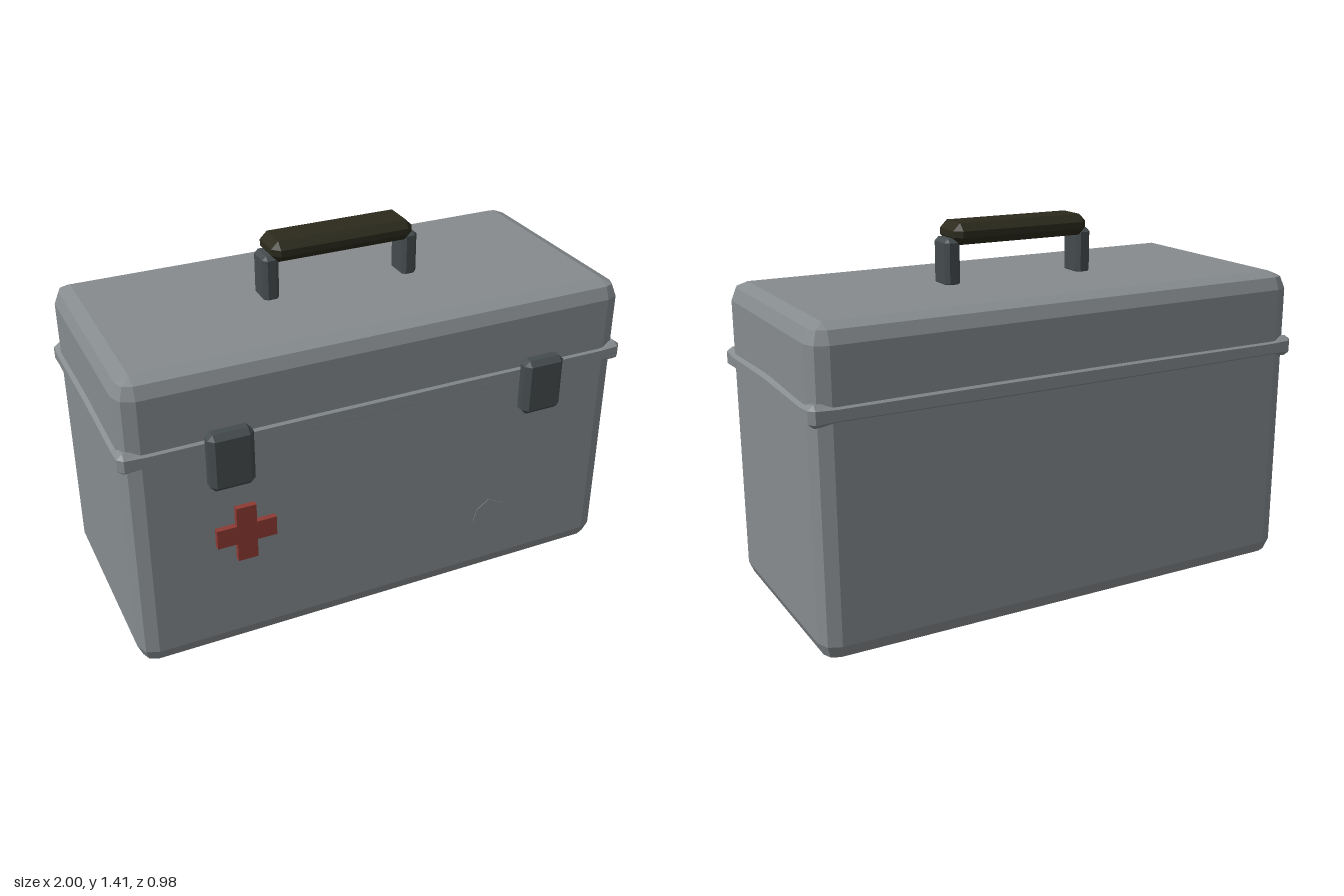
import * as THREE from 'three';

const mat = (name, color) => {
  const m = new THREE.MeshStandardMaterial({ color });
  m.name = name;
  return m;
};

// Faceted solid from stacked closed rings (bottom to top), capped at both ends
function loft(rings) {
  const pos = [];
  const tri = (...pts) => pts.forEach((p) => pos.push(...p));
  const n = rings[0].length;
  for (let i = 0; i < rings.length - 1; i++) {
    for (let j = 0; j < n; j++) {
      const k = (j + 1) % n;
      tri(rings[i][j], rings[i + 1][j], rings[i][k]);
      tri(rings[i][k], rings[i + 1][j], rings[i + 1][k]);
    }
  }
  const low = rings[0], top = rings[rings.length - 1];
  for (let j = 1; j < n - 1; j++) {
    tri(low[0], low[j], low[j + 1]);
    tri(top[0], top[j + 1], top[j]);
  }
  const g = new THREE.BufferGeometry();
  g.setAttribute('position', new THREE.Float32BufferAttribute(pos, 3));
  g.computeVertexNormals();
  return g;
}

// Box with every edge bevelled in the given number of steps
function bevelBox(w, h, d, r, steps) {
  const ring = (radius, y) => {
    const pts = [];
    [[1, 1], [-1, 1], [-1, -1], [1, -1]].forEach(([sx, sz], q) => {
      for (let s = 0; s <= steps; s++) {
        const a = (q + s / steps) * Math.PI / 2;
        pts.push([
          sx * (w / 2 - r) + radius * Math.cos(a), y,
          sz * (d / 2 - r) + radius * Math.sin(a),
        ]);
      }
    });
    return pts;
  };
  const rings = [];
  for (const side of [-1, 1]) {
    for (let s = 0; s <= steps; s++) {
      const a = (side < 0 ? s : steps - s) / steps * Math.PI / 2;
      rings.push(ring(r * Math.sin(a), side * (h / 2 - r + r * Math.cos(a))));
    }
  }
  return loft(rings);
}

// Seam rim whose thickness swells and dips a little around the box
function rimGeometry(X, Z) {
  const quarter = [
    [X, 0.04, 1.1], [X, Z - 0.1, 0.75], [X, Z - 0.02, 1.05],
    [X - 0.02, Z, 1.05], [X - 0.1, Z, 0.88], [0.3, Z, 1],
  ];
  const outline = [[1, 1], [-1, 1], [-1, -1], [1, -1]].flatMap(([sx, sz], q) => {
    const pts = quarter.map(([x, z, s]) => [sx * x, sz * z, s]);
    return q % 2 ? pts.reverse() : pts;
  });
  const clamp = THREE.MathUtils.clamp;
  return loft([[0.022, -0.038], [0, -0.022], [0, 0.022], [0.022, 0.038]].map(([inset, y]) =>
    outline.map(([x, z, s]) => [
      clamp(x, inset - X, X - inset), y * s, clamp(z, inset - Z, Z - inset),
    ])));
}

function plate(points, depth) {
  const shape = new THREE.Shape(points.map(([x, y]) => new THREE.Vector2(x, y)));
  return new THREE.ExtrudeGeometry(shape, { depth, bevelEnabled: false });
}

export function createModel() {
  const group = new THREE.Group();
  group.name = 'firstAidBox';
  const grey = mat('paintedMetal', 0x868b8e);
  const steel = mat('darkSteel', 0x454c4e);
  const grip = mat('gripRubber', 0x2b2a1c);
  const red = mat('crossRed', 0x8e3a34);
  const add = (name, geometry, material, x, y, z) => {
    const m = new THREE.Mesh(geometry, material);
    m.name = name;
    m.position.set(x, y, z);
    group.add(m);
  };
  const zMid = -0.027;

  // Box and seam
  add('caseBody', bevelBox(1.97, 1.185, 0.906, 0.066, 2), grey, 0, 0.5975, zMid);
  add('lidRim', rimGeometry(1, 0.463), grey, 0, 0.895, zMid);

  // Latches and carrying handle
  const latch = bevelBox(0.166, 0.225, 0.07, 0.02, 1);
  const post = bevelBox(0.062, 0.18, 0.11, 0.015, 1);
  for (const [side, name] of [[1, 'left'], [-1, 'right']]) {
    add(name + 'Latch', latch, steel, side * 0.62, 0.852, 0.457);
    add(name + 'HandlePost', post, steel, side * 0.281, 1.268, zMid);
  }
  add('handleGrip', bevelBox(0.565, 0.08, 0.166, 0.028, 1), grip, 0, 1.375, zMid);

  // Raised cross on the front
  const a = 0.113, b = 0.038;
  const cross = [
    [b, a], [-b, a], [-b, b], [-a, b], [-a, -b], [-b, -b],
    [-b, -a], [b, -a], [b, -b], [a, -b], [a, b], [b, b],
  ];
  add('cross', plate(cross, 0.025), red, -0.568, 0.513, 0.423);

  // Small worn patch on the front
  const patch = [
    [-0.065, -0.02], [-0.05, 0.025], [0, 0.06], [0.065, 0.025],
    [0.065, -0.055], [0.01, -0.062], [-0.06, -0.04],
  ];
  add('wornPatch', plate(patch, 0.003), grey, 0.45, 0.29, 0.425);
  return group;
}
